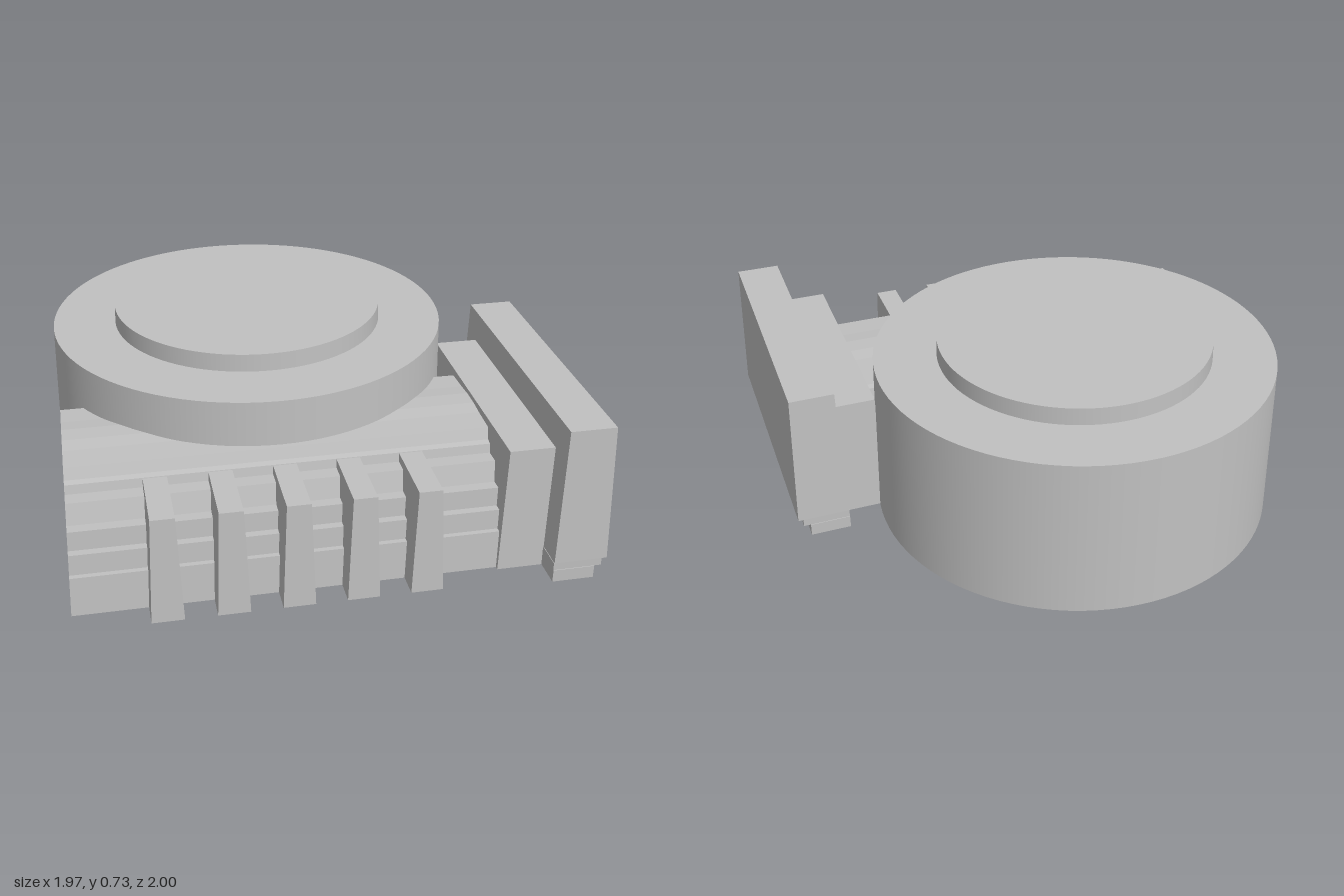
import * as THREE from 'three';

export function createModel() {
  const group = new THREE.Group();
  const stone = new THREE.MeshStandardMaterial({ color: 0xc0c0c0 });
  stone.name = 'paleGrey';

  const add = (name, geometry) => {
    const mesh = new THREE.Mesh(geometry, stone);
    mesh.name = name;
    group.add(mesh);
    return mesh;
  };

  // Block with its base given by ranges; the top is drawn in by [left, right, back, front]
  const block = (name, [x0, x1], [y0, y1], [z0, z1], inset = [0, 0, 0, 0]) => {
    const g = new THREE.BoxGeometry(x1 - x0, y1 - y0, z1 - z0);
    g.translate((x0 + x1) / 2, (y0 + y1) / 2, (z0 + z1) / 2);
    const p = g.attributes.position;
    const cx = (x0 + x1) / 2, cy = (y0 + y1) / 2, cz = (z0 + z1) / 2;
    for (let i = 0; i < p.count; i++) {
      if (p.getY(i) < cy) continue;
      const x = p.getX(i), z = p.getZ(i);
      p.setX(i, x < cx ? x + inset[0] : x - inset[1]);
      p.setZ(i, z < cz ? z + inset[2] : z - inset[3]);
    }
    g.computeVertexNormals();
    return add(name, g);
  };

  // Round drum, slightly narrower at the top, with a raised disc
  const drumX = -0.175, drumZ = -0.188;
  const drum = add('drum', new THREE.CylinderGeometry(0.798, 0.812, 0.655, 96));
  drum.position.set(drumX, 0.3275, drumZ);
  const disc = add('raisedDisc', new THREE.CylinderGeometry(0.545, 0.548, 0.09, 96));
  disc.position.set(drumX, 0.68, drumZ);

  // Stepped hall: half profile [z, y], mirrored about its ridge, extruded along x
  const ridge = 0.41;
  const half = [
    [0.87, 0], [0.86, 0.155], [0.84, 0.155], [0.835, 0.235], [0.805, 0.235],
    [0.8, 0.31], [0.757, 0.31], [0.737, 0.39], [0.677, 0.39], [0.67, 0.425],
    [0.645, 0.43], [0.63, 0.475], [0.52, 0.48], [0.45, 0.486],
  ];
  const mirrored = half.map(([z, y]) => [2 * ridge - z, y]).reverse();
  const outline = [...half, ...mirrored].map(([z, y]) => new THREE.Vector2(-z, y));
  const left = -0.988, right = 0.64;
  const hall = new THREE.ExtrudeGeometry(new THREE.Shape(outline), {
    depth: right - left, bevelEnabled: false,
  });
  hall.rotateY(Math.PI / 2).translate(left, 0, 0);
  const p = hall.attributes.position;
  for (let i = 0; i < p.count; i++) {
    // The free end leans inwards
    if (p.getX(i) < 0) p.setX(i, p.getX(i) + 0.035 * p.getY(i));
  }
  hall.computeVertexNormals();
  add('steppedHall', hall);

  // Row of tapering buttresses
  for (let i = 0; i < 5; i++) {
    const x = -0.65 + i * 0.2385;
    block('buttress', [x - 0.06, x + 0.06], [0, 0.422], [0.635, 0.965], [0.016, 0.016, 0, 0.015]);
  }

  // Pier joining the hall to the end wall
  block('pier', [0.602, 0.8], [0, 0.505], [-0.07, 0.885], [0.015, 0, 0.012, 0.012]);

  // Tall end wall above a recessed footing
  block('endWall', [0.78, 0.985], [0.08, 0.628], [-0.172, 0.995], [0.012, 0.018, 0.017, 0.015]);
  block('upperFooting', [0.778, 0.965], [0.05, 0.08], [-0.172, 0.995]);
  block('lowerFooting', [0.778, 0.938], [0, 0.05], [-0.175, 0.998]);

  return group;
}
